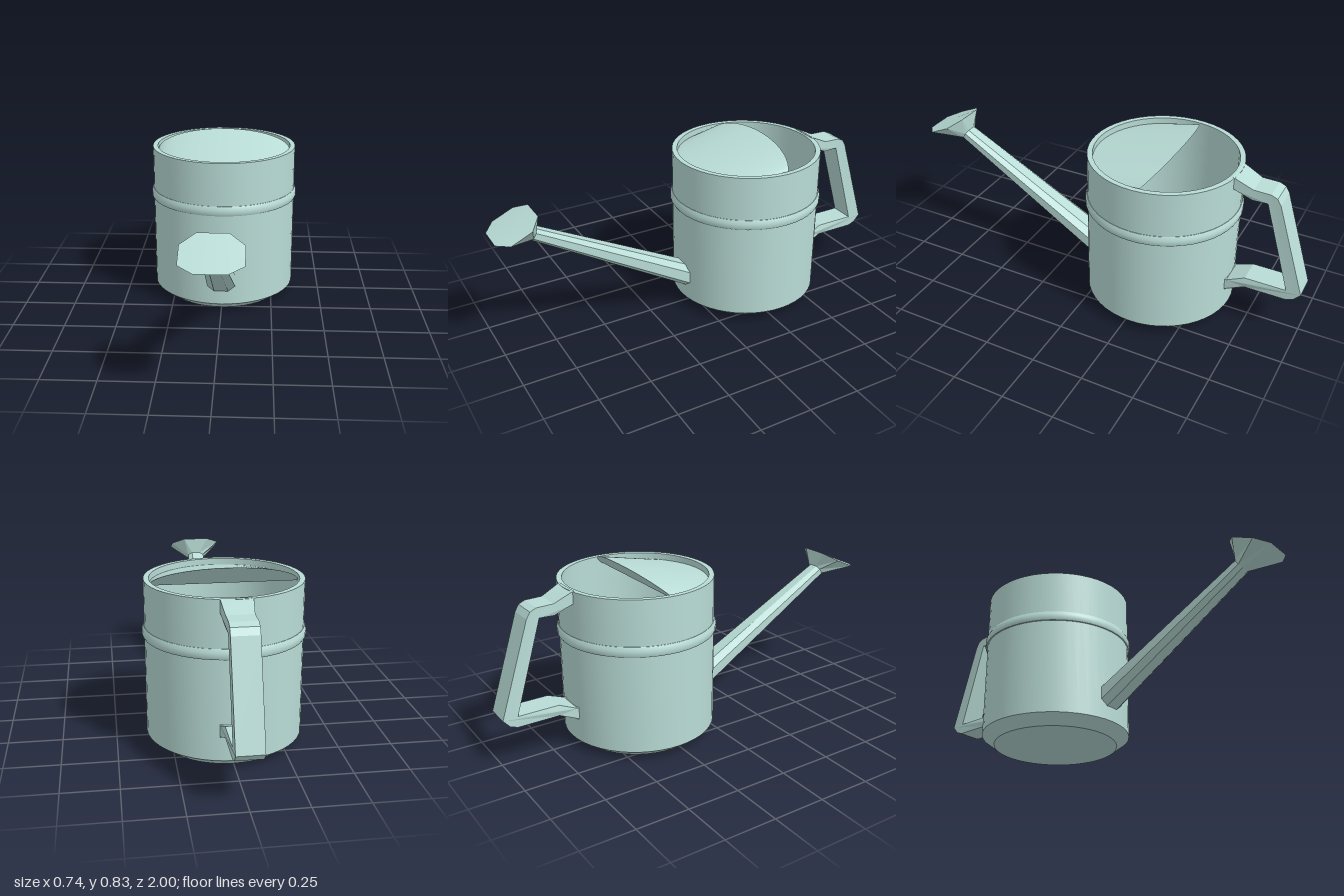
import * as THREE from 'three';
import { toCreasedNormals } from 'three/addons/utils/BufferGeometryUtils.js';

const CENTER_Z = -0.29; // axis of the can
const MOUTH_R = 0.335;

const material = new THREE.MeshStandardMaterial({ color: 0xb9dcd6 });
const thinMaterial = new THREE.MeshStandardMaterial({ color: 0xb9dcd6, side: THREE.DoubleSide });

function part(name, geometry, mat = material, crease = 0.5) {
  const mesh = new THREE.Mesh(toCreasedNormals(geometry, crease), mat);
  mesh.name = name;
  return mesh;
}

// Skin over a list of cross-sections with equal point counts
function loft(rings, closed) {
  const n = rings[0].length;
  const index = [];
  for (let r = 0; r < rings.length - 1; r++) {
    for (let i = 0; i < (closed ? n : n - 1); i++) {
      const j = (i + 1) % n;
      const a = r * n + i, b = r * n + j, c = b + n, d = a + n;
      index.push(a, b, c, a, c, d);
    }
  }
  const geometry = new THREE.BufferGeometry();
  geometry.setAttribute('position', new THREE.Float32BufferAttribute(rings.flat(2), 3));
  geometry.setIndex(index);
  return geometry;
}

function turned(name, profile) {
  const geometry = new THREE.LatheGeometry(profile.map(([r, y]) => new THREE.Vector2(r, y)), 48);
  const mesh = part(name, geometry);
  mesh.position.z = CENTER_Z;
  return mesh;
}

// Half cover over the front of the mouth: front rim, raised arch, straight chord
function createCover() {
  const front = [], arch = [], chord = [];
  const steps = 32, y = 0.74;
  for (let i = 0; i <= steps; i++) {
    const t = (Math.PI * i) / steps;
    const x = MOUTH_R * Math.cos(t), s = Math.sin(t);
    front.push([x, y, CENTER_Z + MOUTH_R * s]);
    arch.push([x, y + 0.09 * s, CENTER_Z - 0.085 * s]);
    chord.push([x, y, CENTER_Z]);
  }
  return part('frontCover', loft([front, arch, chord], false), thinMaterial);
}

// Eight-sided section: half width w, "up" direction (dy, dz), sides dropped by sag
function octagon(y, z, w, dy, dz, sag = 0) {
  const corners = [[1, -0.5], [1, 0.5], [0.5, 1], [-0.5, 1], [-1, 0.5], [-1, -0.5], [-0.5, -1], [0.5, -1]];
  return corners.map(([u, v]) => [u * w, y + v * dy - (Math.abs(u) === 1 ? sag : 0), z + v * dz]);
}

function createSpout() {
  const root = octagon(0.16, 0.045, 0.07, 0.06, 0);
  const neck = octagon(0.597, 0.815, 0.042, 0.024, -0.015);
  const rim = octagon(0.657, 0.9, 0.13, 0.045, -0.1, 0.009);
  const face = rim.map(() => [0, 0.657, 0.9]);
  const group = new THREE.Group();
  group.name = 'spout';
  group.add(
    part('spoutTube', loft([root, neck], true), material, 0.2),
    part('sprinklerHead', loft([neck, rim], true), material, 0.2),
    part('sprinklerFace', loft([rim, face], true), material, 0.6)
  );
  return group;
}

// Flat bar bent into a handle, outlined in side view as [z, y]
function createHandle() {
  const outline = [
    [-0.636, 0.772], [-0.65, 0.768], [-0.73, 0.73], [-0.81, 0.728], [-0.84, 0.715], [-0.858, 0.685],
    [-1.0, 0.246], [-0.97, 0.212], [-0.935, 0.198], [-0.735, 0.198], [-0.65, 0.16], [-0.636, 0.156],
    [-0.636, 0.219], [-0.65, 0.214], [-0.735, 0.25], [-0.93, 0.25], [-0.8, 0.68], [-0.73, 0.677],
    [-0.65, 0.712], [-0.636, 0.716]
  ];
  const shape = new THREE.Shape(outline.map(([z, y]) => new THREE.Vector2(z, y)));
  const geometry = new THREE.ExtrudeGeometry(shape, { depth: 0.12, bevelEnabled: false });
  geometry.translate(0, 0, -0.06).rotateY(-Math.PI / 2);
  // Widen the ends where they meet the can
  const p = geometry.attributes.position;
  for (let i = 0; i < p.count; i++) if (p.getZ(i) > -0.66) p.setX(i, p.getX(i) * 1.15);
  return part('handle', geometry, material, 0.2);
}

export function createModel() {
  const model = new THREE.Group();
  model.name = 'wateringCan';
  model.add(
    turned('body', [
      [0, 0], [0.3, 0], [0.36, 0.045], [0.36, 0.77], [MOUTH_R, 0.77], [MOUTH_R, 0.045], [0.29, 0.02], [0, 0.02]
    ]),
    turned('bodyBand', [[0.355, 0.51], [0.366, 0.51], [0.37, 0.518], [0.37, 0.54], [0.362, 0.557], [0.355, 0.557]]),
    createCover(),
    createSpout(),
    createHandle()
  );
  return model;
}
